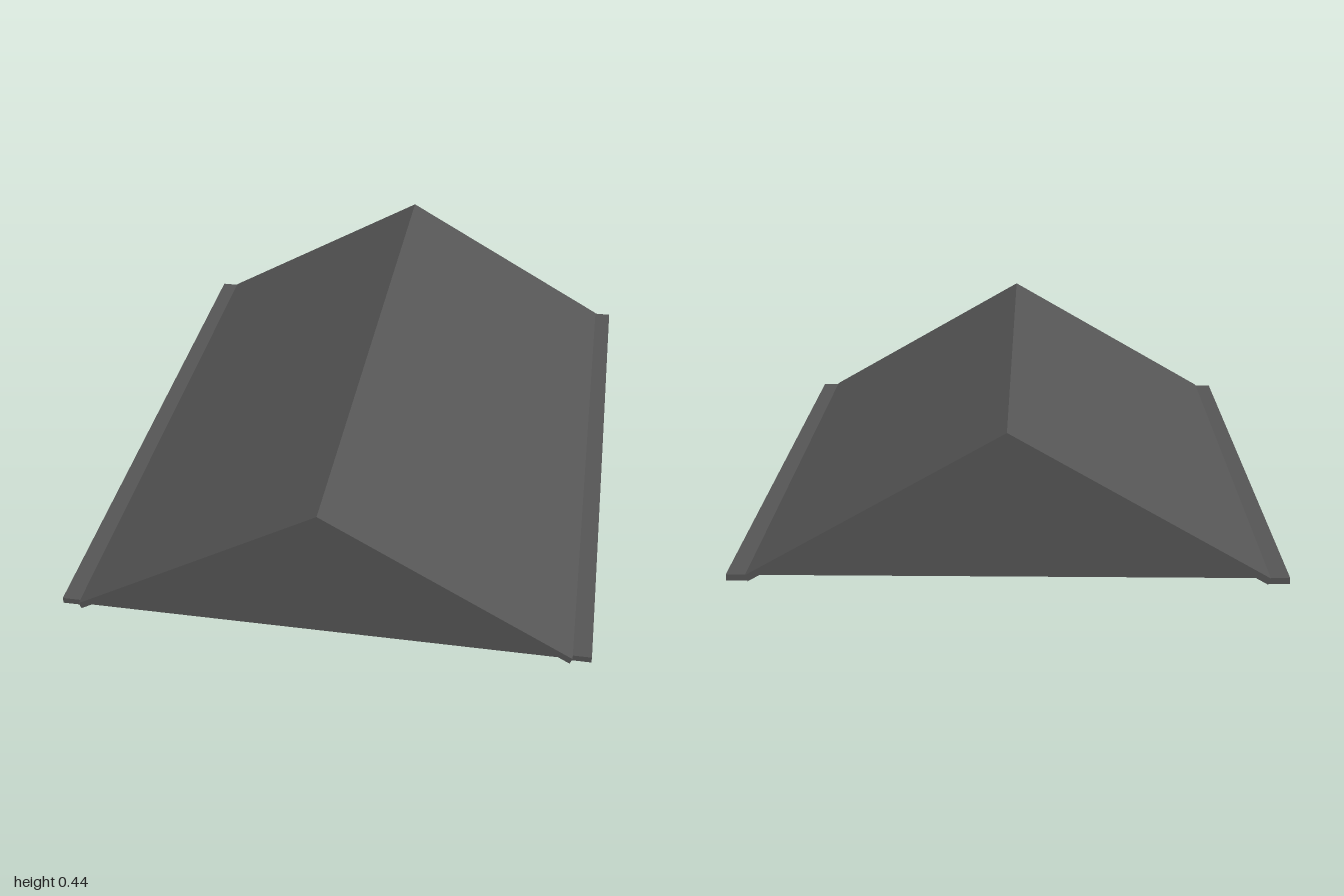
import * as THREE from 'three';

export function createModel() {
  const model = new THREE.Group();
  const roofGrey = new THREE.MeshStandardMaterial({ color: 0x555555 });
  roofGrey.name = 'roof grey';
  const gridGrey = new THREE.MeshStandardMaterial({ color: 0xd0d0d0 });
  gridGrey.name = 'light grid grey';

  const add = (name, geometry, material, x = 0, y = 0, z = 0) => {
    const mesh = new THREE.Mesh(geometry, material);
    mesh.name = name;
    mesh.position.set(x, y, z);
    model.add(mesh);
  };
  const extrude = (points, depth) => new THREE.ExtrudeGeometry(
    new THREE.Shape(points.map(([x, y]) => new THREE.Vector2(x, y))),
    { depth, bevelEnabled: false });

  // Two sloping roof panels meeting at the ridge
  for (const [side, s] of [['left', 1], ['right', -1]]) {
    add(side + 'RoofPanel', extrude(
      [[0, 0.42], [s * 0.735, 0], [s * 0.742, 0.019], [0, 0.445]], 2), roofGrey, 0, 0, -1);
    // Flat eave strip along the lower edge
    add(side + 'Eave', new THREE.BoxGeometry(0.062, 0.019, 1.98), roofGrey, s * 0.766, 0.0095, -0.005);
  }

  // Triangular end walls, open underneath
  const gable = extrude([[-0.705, 0.02], [0.705, 0.02], [0, 0.425]], 0.005);
  add('frontGable', gable, roofGrey, 0, 0, 0.995);
  add('backGable', gable, roofGrey, 0, 0, -1);

  // Thin ceiling grid inside the roof
  for (const x of [-0.34, 0, 0.34]) {
    add('longGridBar', new THREE.BoxGeometry(0.012, 0.01, 1.94), gridGrey, x, 0.03, 0);
  }
  for (const z of [-0.75, -0.38, -0.01, 0.36, 0.7]) {
    add('crossGridBar', new THREE.BoxGeometry(1.29, 0.009, 0.012), gridGrey, 0, 0.03, z);
  }
  return model;
}
